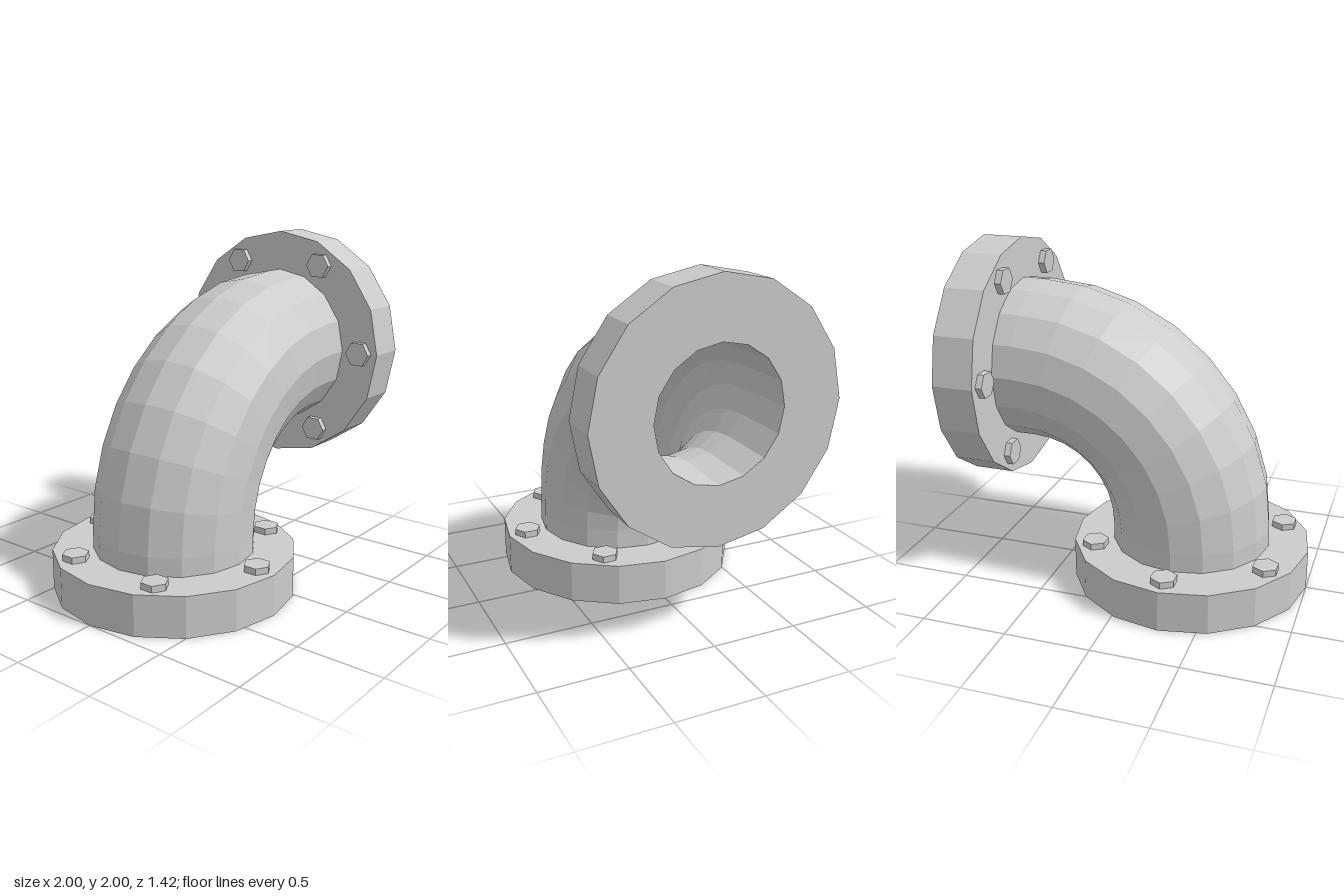
import * as THREE from 'three';

const SIDES = 16, BEND = 0.94, CX = 0.65, CY = 0.35, AXIS_X = CX - BEND, AXIS_Y = CY + BEND;
const FLANGE_R = 0.71, FLANGE_H = 0.24, MOUTH_R = 0.37, BORE_R = 0.355, PIPE_R = 0.473;

const grey = new THREE.MeshStandardMaterial({ color: 0xcccccc, flatShading: true });

function part(name, geometry, parent) {
  const mesh = new THREE.Mesh(geometry, grey);
  mesh.name = name;
  parent.add(mesh);
  return mesh;
}

// Sweeps a ring along the elbow: straight end, quarter bend, straight end.
// margin is how far the straight ends stop short of the flange faces.
function elbow(radius, endRadius, margin, inward) {
  const stations = [[AXIS_X, margin, 0, endRadius]];
  for (let i = 0; i <= 8; i++) {
    const a = (i / 8) * Math.PI / 2;
    stations.push([CX - BEND * Math.cos(a), CY + BEND * Math.sin(a), a, radius]);
  }
  stations.push([1 - margin, AXIS_Y, Math.PI / 2, endRadius]);

  const positions = [], index = [];
  stations.forEach(([x, y, a, r], i) => {
    for (let j = 0; j < SIDES; j++) {
      const t = (j / SIDES) * Math.PI * 2, out = r * Math.cos(t);
      positions.push(x - out * Math.cos(a), y + out * Math.sin(a), r * Math.sin(t));
      if (i === 0) continue;
      const k = (j + 1) % SIDES, p = (i - 1) * SIDES, q = i * SIDES;
      if (inward) index.push(p + j, q + j, p + k, p + k, q + j, q + k);
      else index.push(p + j, p + k, q + j, p + k, q + k, q + j);
    }
  });
  const g = new THREE.BufferGeometry();
  g.setAttribute('position', new THREE.Float32BufferAttribute(positions, 3));
  g.setIndex(index);
  g.computeVertexNormals();
  return g;
}

// Flange ring with six hexagonal bolt heads on its inner face
function makeFlange(name) {
  const flange = new THREE.Group();
  flange.name = name;
  const profile = [[MOUTH_R, 0], [FLANGE_R, 0], [FLANGE_R, FLANGE_H], [0.4, FLANGE_H]];
  part('flangeRing', new THREE.LatheGeometry(profile.map(p => new THREE.Vector2(...p)), SIDES), flange);
  const head = new THREE.CylinderGeometry(0.078, 0.078, 0.06, 6);
  for (let i = 0; i < 6; i++) {
    const a = Math.PI / 6 + i * Math.PI / 3;
    part('boltHead', head, flange).position.set(0.593 * Math.cos(a), FLANGE_H + 0.008, 0.593 * Math.sin(a));
  }
  return flange;
}

export function createModel() {
  const model = new THREE.Group();
  model.name = 'pipeElbow';

  // Outer wall and hollow bore
  part('pipeWall', elbow(PIPE_R, PIPE_R, FLANGE_H - 0.02, false), model);
  part('pipeBore', elbow(BORE_R, MOUTH_R, 0, true), model);

  // Flanges at the two ends
  const base = makeFlange('baseFlange');
  base.position.x = AXIS_X;
  const side = makeFlange('sideFlange');
  side.rotation.z = Math.PI / 2;
  side.position.set(1, AXIS_Y, 0);
  model.add(base, side);
  return model;
}
